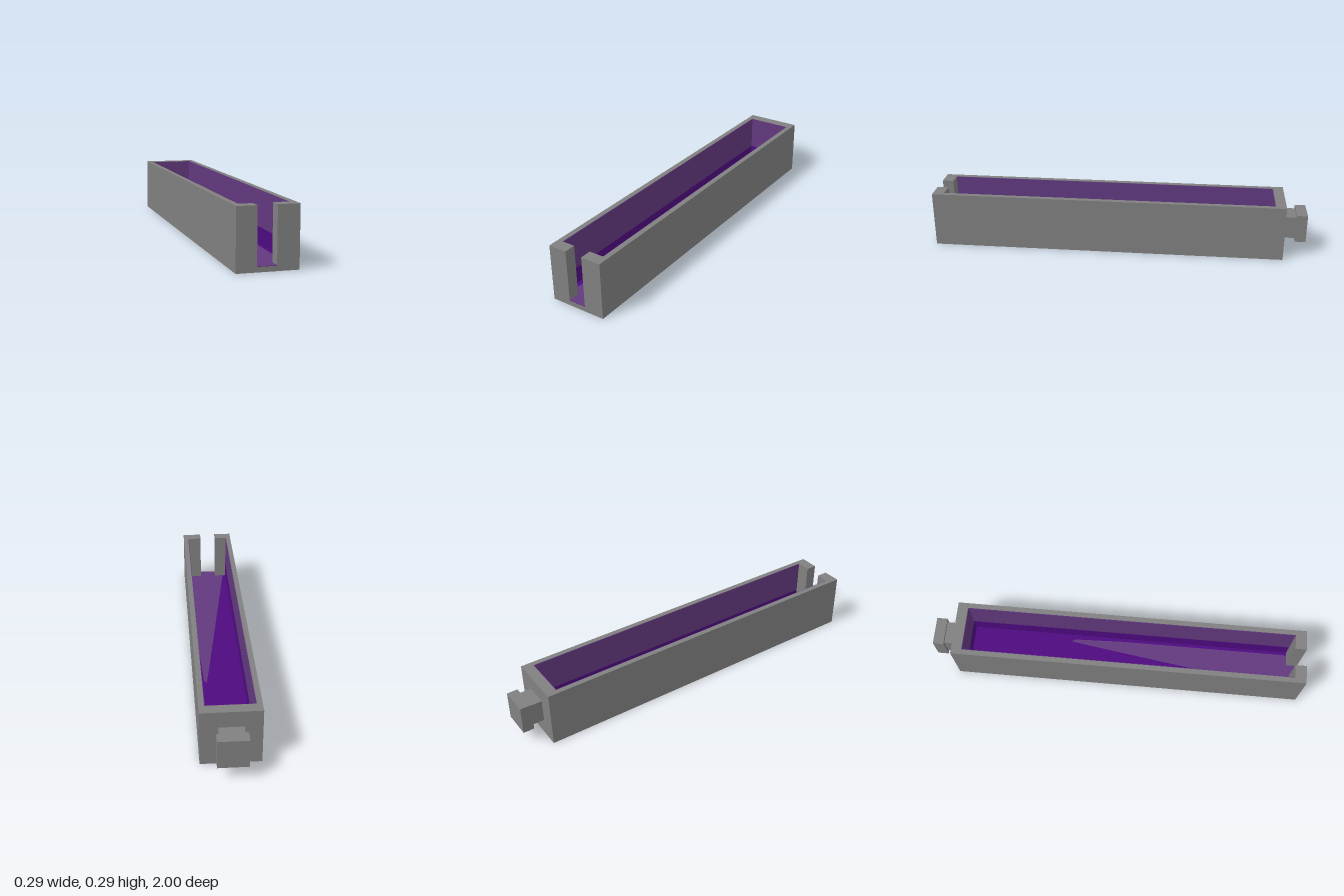
import * as THREE from 'three';

const material = (name, color) => Object.assign(new THREE.MeshStandardMaterial({ color }), { name });

export function createModel() {
  const model = new THREE.Group();
  model.name = 'trough';
  const grey = material('grey', 0x808080);
  const purple = material('purple', 0x62397f);
  const indigo = material('indigo', 0x4e0b80);

  const add = (name, geometry, mat) => {
    const mesh = new THREE.Mesh(geometry, mat);
    mesh.name = name;
    model.add(mesh);
  };
  // Box given by its lower and upper limits on each axis
  const box = (name, mat, [x0, x1], [y0, y1], [z0, z1]) => add(name,
    new THREE.BoxGeometry(x1 - x0, y1 - y0, z1 - z0)
      .translate((x0 + x1) / 2, (y0 + y1) / 2, (z0 + z1) / 2), mat);
  // Plan outline in (x, z), raised from y0 by a height
  const slab = (name, mat, points, y0, height) => {
    const shape = new THREE.Shape(points.map(([x, z]) => new THREE.Vector2(x, -z)));
    add(name, new THREE.ExtrudeGeometry(shape, { depth: height, bevelEnabled: false })
      .rotateX(-Math.PI / 2).translate(0, y0, 0), mat);
  };

  const W = 0.147, H = 0.295, IN = 0.12, FLOOR = 0.024, BAND = 0.112;
  const BACK = -0.88, INBACK = -0.825, INFRONT = 0.94;
  const SLOT = [-0.05, 0.042], T = 0.003;

  // Body: base plate and one continuous wall, open at the front slot
  box('base', grey, [-W, W], [0, FLOOR], [BACK, 1]);
  slab('walls', grey, [
    [-W, BACK], [W, BACK], [W, 1], [SLOT[1], 1], [SLOT[1], INFRONT], [IN, INFRONT],
    [IN, INBACK], [-IN, INBACK], [-IN, INFRONT], [SLOT[0], INFRONT], [SLOT[0], 1], [-W, 1],
  ], FLOOR, H - FLOOR);

  // Lining: indigo lower band, purple above
  for (const [name, mat, y] of [
    ['lowerLining', indigo, [FLOOR, BAND]],
    ['upperLining', purple, [BAND, H - 0.001]],
  ]) {
    box(name + 'Right', mat, [-IN, -IN + T], y, [INBACK, INFRONT]);
    box(name + 'Left', mat, [IN - T, IN], y, [INBACK, INFRONT]);
    box(name + 'Back', mat, [-IN + T, IN - T], y, [INBACK, INBACK + T]);
  }

  // Floor, its lighter wedge and the sill of the slot
  box('floor', indigo, [-IN + T, IN - T], [FLOOR, FLOOR + 0.002], [INBACK + T, INFRONT]);
  slab('floorWedge', purple, [
    [-0.1, INFRONT], [0.1, INFRONT], [0.1, 0.02], [0.09, -0.25], [0.077, -0.27], [0.062, -0.18],
  ], FLOOR + 0.002, 0.001);
  box('slotSill', purple, SLOT, [FLOOR, FLOOR + 0.003], [INFRONT, 0.999]);

  // Square knob on the back
  box('knobNeck', grey, [-0.06, 0.06], [0.09, 0.21], [-0.943, BACK]);
  box('knobHead', grey, [-0.074, 0.074], [0.075, 0.225], [-1, -0.943]);

  return model;
}
